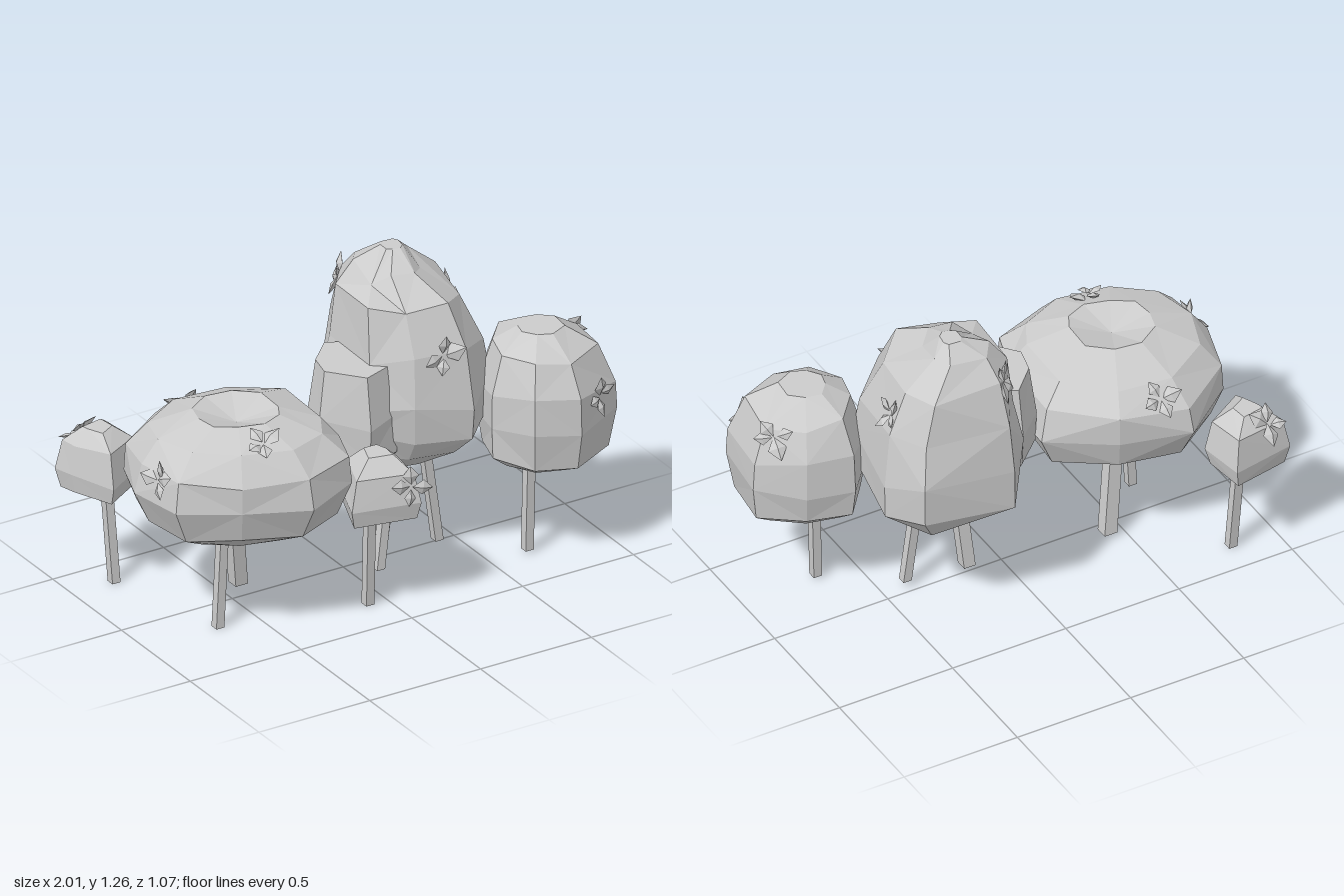
import * as THREE from 'three';

const material = new THREE.MeshStandardMaterial({ color: 0xcccccc, flatShading: true });

// small seeded generator for the irregular facets
let seed = 11;
const rand = () => (seed = (seed * 16807) % 2147483647) / 2147483647;
const jitter = (a) => (rand() - 0.5) * 2 * a;

// Profiles: [height fraction, width fraction, shift in x, shift in z] from bottom to top
const dome = [[0, 0.6], [0.14, 0.88], [0.42, 1], [0.67, 0.96], [0.87, 0.77], [1, 0.38]];
const barrel = [[0, 0.68], [0.09, 0.93], [0.35, 1], [0.6, 0.98], [0.87, 0.77], [1, 0.34]];
const crag = [[0, 0.34, -0.05], [0.11, 0.78, -0.02], [0.22, 0.97], [0.38, 1], [0.61, 0.9],
  [0.82, 0.73, -0.02, -0.02], [0.92, 0.4, -0.05, -0.06], [1, 0.13, -0.02, -0.08]];
const tuft = [[0, 0.5], [0.25, 0.95], [0.55, 1], [1, 0.82]];
const bud = [[0, 0.88], [0.3, 1], [0.78, 0.82], [1, 0.35]];

// Faceted bush: a plan outline (clockwise from above) scaled up along a profile,
// its top centre sunk by dent
function makeBush(name, outline, [y0, y1], profile, dent = 0) {
  const n = outline.length;
  const cx = outline.reduce((s, p) => s + p[0], 0) / n;
  const cz = outline.reduce((s, p) => s + p[1], 0) / n;
  const rough = (y1 - y0) * 0.035;
  const rings = profile.map(([t, width, dx = 0, dz = 0], r) => {
    const isEnd = r === 0 || r === profile.length - 1;
    return outline.map(([x, z]) => {
      const w = width * (1 + jitter(0.03));
      const y = y0 + t * (y1 - y0) + (isEnd ? 0 : jitter(rough));
      return new THREE.Vector3(cx + (x - cx) * w + dx, y, cz + (z - cz) * w + dz);
    });
  });
  const top = rings[rings.length - 1];
  const middle = (ring) => ring.reduce((s, p) => s.add(p), new THREE.Vector3()).divideScalar(n);
  const base = middle(rings[0]);
  const crown = middle(top);
  crown.y -= dent;
  const corners = [];
  for (let i = 0; i < n; i++) {
    const j = (i + 1) % n;
    corners.push(rings[0][i], rings[0][j], base, top[j], top[i], crown);
    for (let r = 1; r < rings.length; r++) {
      const low = rings[r - 1], up = rings[r];
      if ((i + r) % 2) corners.push(low[j], low[i], up[i], low[j], up[i], up[j]);
      else corners.push(low[j], low[i], up[j], low[i], up[i], up[j]);
    }
  }
  const geometry = new THREE.BufferGeometry().setFromPoints(corners);
  geometry.computeVertexNormals();
  const bush = new THREE.Mesh(geometry, material);
  bush.name = name;
  return bush;
}

// Flower: a few broad diamond petals scattered on the bush surface near a spot
const petalGeometry = new THREE.OctahedronGeometry(1).scale(0.05, 0.038, 0.014);
function makeFlower(bush, spot) {
  bush.geometry.computeBoundingBox();
  const centre = bush.geometry.boundingBox.getCenter(new THREE.Vector3());
  const out = new THREE.Vector3(...spot).sub(centre).normalize();
  const ray = new THREE.Raycaster(centre.addScaledVector(out, 2), out.clone().negate());
  const hit = ray.intersectObject(bush)[0];
  const flower = new THREE.Group();
  flower.name = 'flower';
  flower.position.copy(hit.point);
  flower.quaternion.setFromUnitVectors(new THREE.Vector3(0, 0, 1), hit.face.normal);
  for (let i = 0; i < 4; i++) {
    const spoke = new THREE.Group();
    spoke.name = 'petalSpoke';
    spoke.rotation.z = (i / 4) * Math.PI * 2 + jitter(0.4);
    const petal = new THREE.Mesh(petalGeometry, material);
    petal.name = 'petal';
    petal.position.set(0.045, 0, 0.008);
    petal.rotation.set(jitter(0.4), -0.2 + jitter(0.2), 0);
    petal.scale.setScalar(0.85 + jitter(0.2));
    spoke.add(petal);
    flower.add(spoke);
  }
  return flower;
}

// Leaning square stem from its foot up into a bush
function makeStem(foot, topX, topZ, width = 0.036) {
  const base = new THREE.Vector3(...foot);
  const lean = new THREE.Vector3(topX, 0.46, topZ).sub(base);
  const geometry = new THREE.BoxGeometry(width, lean.y, width).translate(0, lean.y / 2, 0);
  const p = geometry.attributes.position;
  for (let i = 0; i < p.count; i++) {
    const t = p.getY(i) / lean.y;
    p.setX(i, p.getX(i) + lean.x * t);
    p.setZ(i, p.getZ(i) + lean.z * t);
  }
  geometry.computeVertexNormals();
  const stem = new THREE.Mesh(geometry, material);
  stem.name = 'stem';
  stem.position.copy(base);
  return stem;
}

export function createModel() {
  seed = 11;
  const model = new THREE.Group();
  model.name = 'flowerBushes';
  const plant = (bush, ...spots) => {
    model.add(bush, ...spots.map((spot) => makeFlower(bush, spot)));
  };

  // Bushes with their flowers
  plant(makeBush('wideBush', [[-0.9, -0.17], [-0.65, -0.34], [-0.36, -0.29], [-0.13, -0.1],
    [-0.14, 0.25], [-0.22, 0.41], [-0.45, 0.5], [-0.72, 0.43], [-0.92, 0.28], [-0.96, 0.05]],
  [0.4, 0.87], dome, 0.05),
  [-0.57, 0.83, 0.33], [-0.92, 0.7, 0.16], [-0.55, 0.76, -0.31]);
  plant(makeBush('tallBush', [[0.02, -0.2], [0.15, -0.38], [0.53, -0.34], [0.62, -0.18],
    [0.57, 0.15], [0.4, 0.3], [0.17, 0.25], [0.01, 0.14]], [0.4, 1.265], crag),
  [0.3, 0.93, 0.22], [0.53, 0.98, -0.1], [0.15, 1.1, -0.27]);
  plant(makeBush('middleBush', [[-0.13, -0.05], [0, -0.17], [0.16, -0.1], [0.13, 0.19],
    [-0.02, 0.24], [-0.16, 0.08]], [0.44, 0.91], tuft));
  plant(makeBush('roundBush', [[0.52, 0.14], [0.65, -0.01], [0.84, 0.03], [1, 0.16],
    [0.97, 0.42], [0.75, 0.53], [0.58, 0.46], [0.48, 0.3]], [0.41, 0.96], barrel),
  [0.88, 0.71, 0.49], [0.91, 0.84, 0.15]);
  plant(makeBush('smallFrontBush', [[-0.15, 0.21], [0.01, 0.21], [0.05, 0.34], [0.04, 0.51],
    [-0.24, 0.45]], [0.42, 0.67], bud),
  [0, 0.56, 0.48]);
  plant(makeBush('smallBackBush', [[-1, -0.48], [-0.74, -0.53], [-0.71, -0.33], [-0.9, -0.22],
    [-0.98, -0.4]], [0.41, 0.67], bud),
  [-0.91, 0.63, -0.48]);

  // Stems
  model.add(
    makeStem([-0.81, 0, -0.36], -0.83, -0.39),
    makeStem([-0.67, 0, 0.17], -0.64, 0.16),
    makeStem([-0.43, 0.02, -0.07], -0.49, -0.02, 0.055),
    makeStem([-0.08, 0, 0.31], -0.09, 0.34),
    makeStem([0.08, 0.03, 0.13], 0.15, 0.1),
    makeStem([0.14, 0.02, 0.02], 0.17, 0.07, 0.05),
    makeStem([0.4, 0.03, 0.04], 0.34, 0.04),
    makeStem([0.67, 0.01, 0.26], 0.68, 0.26));
  return model;
}
